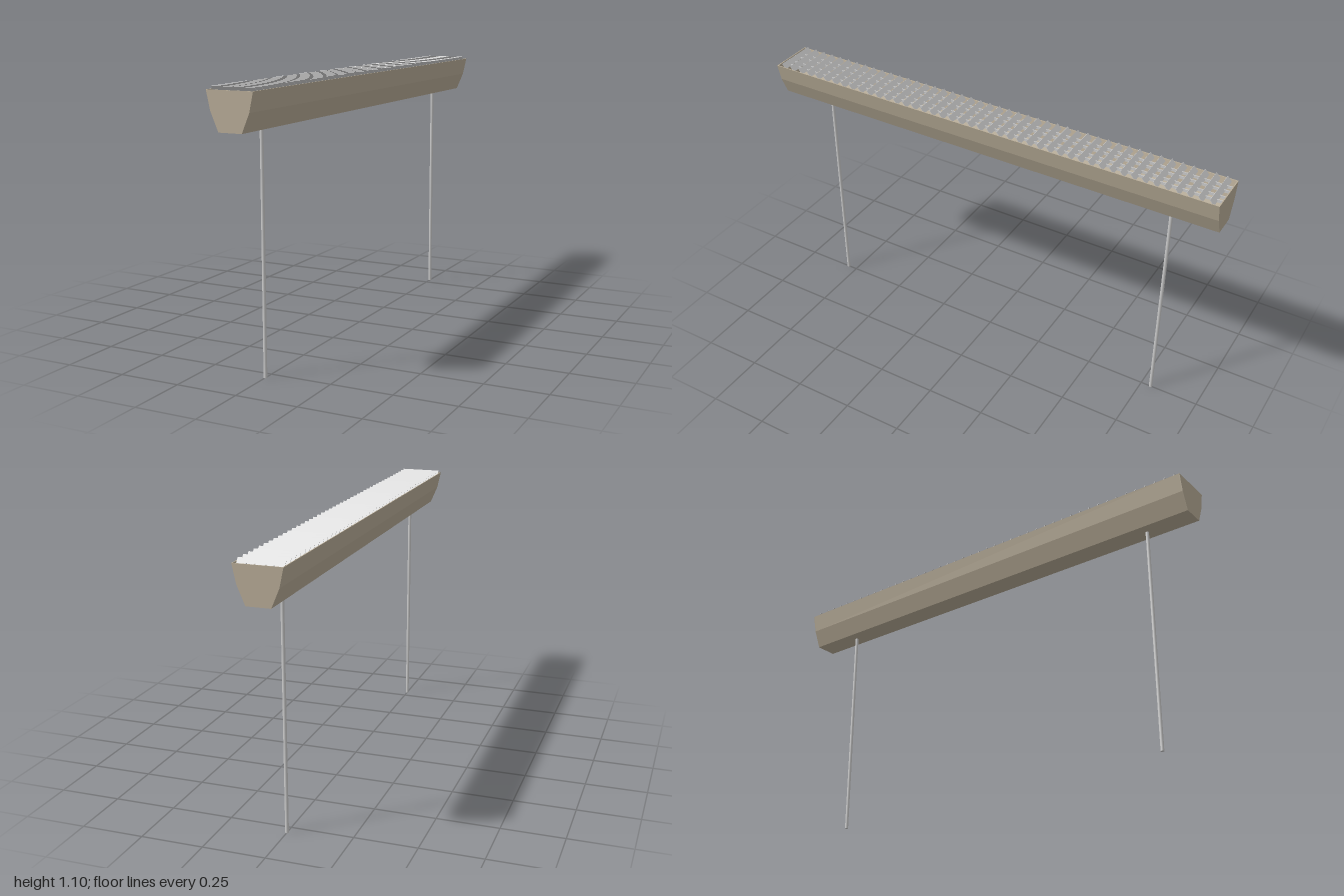
import * as THREE from 'three';

export function createModel() {
  const group = new THREE.Group();
  const tan = new THREE.MeshStandardMaterial({ color: 0xb9ad98 });
  const grey = new THREE.MeshStandardMaterial({ color: 0xcccccc });

  const add = (name, geometry, material, x = 0, y = 0, z = 0, parent = group) => {
    const mesh = new THREE.Mesh(geometry, material);
    mesh.name = name;
    mesh.position.set(x, y, z);
    parent.add(mesh);
    return mesh;
  };
  const extrude = (points, depth) => new THREE.ExtrudeGeometry(
    new THREE.Shape(points.map(([x, y]) => new THREE.Vector2(x, y))),
    { depth, bevelEnabled: false });

  // Open trough: right half of the section from floor to rim, mirrored
  const wall = 0.004;
  const half = [[0.047, 0.937], [0.078, 1.01], [0.094, 1.083]];
  const mirror = pts => pts.map(([x, y]) => [-x, y]).reverse();
  const outer = [...half, ...mirror(half)];
  const innerHalf = half.map(([x, y], i) => [x - wall, i === 0 ? y + wall : y]);
  const section = [...half, ...[...innerHalf].reverse(), ...mirror([...innerHalf].reverse()), ...mirror(half)];
  add('trough', extrude(section, 2 - 2 * wall), tan, 0, 0, -1 + wall);

  // Solid plates closing both ends
  add('frontEndPlate', extrude(outer, wall), tan, 0, 0, 1 - wall);
  add('backEndPlate', extrude(outer, wall), tan, 0, 0, -1);

  // Tilted slats across the open top
  const grille = new THREE.Group();
  grille.name = 'grille';
  group.add(grille);
  const slat = new THREE.BoxGeometry(0.176, 0.027, 0.002);
  slat.rotateX(0.69);
  const count = 45;
  for (let i = 0; i < count; i++) {
    add('slat', slat, grey, 0, 1.084, -0.968 + (1.936 * i) / (count - 1), grille);
  }

  // Thin rails carrying the slats along the trough
  const rail = new THREE.BoxGeometry(0.003, 0.012, 2 - 2 * wall);
  for (const x of [-0.05, -0.02, 0.02, 0.05]) add('slatRail', rail, grey, x, 1.074, 0, grille);

  // Two slender posts
  const post = new THREE.CylinderGeometry(0.007, 0.007, 0.938, 16);
  for (const z of [0.793, -0.793]) add('post', post, grey, 0, 0.469, z);

  return group;
}
